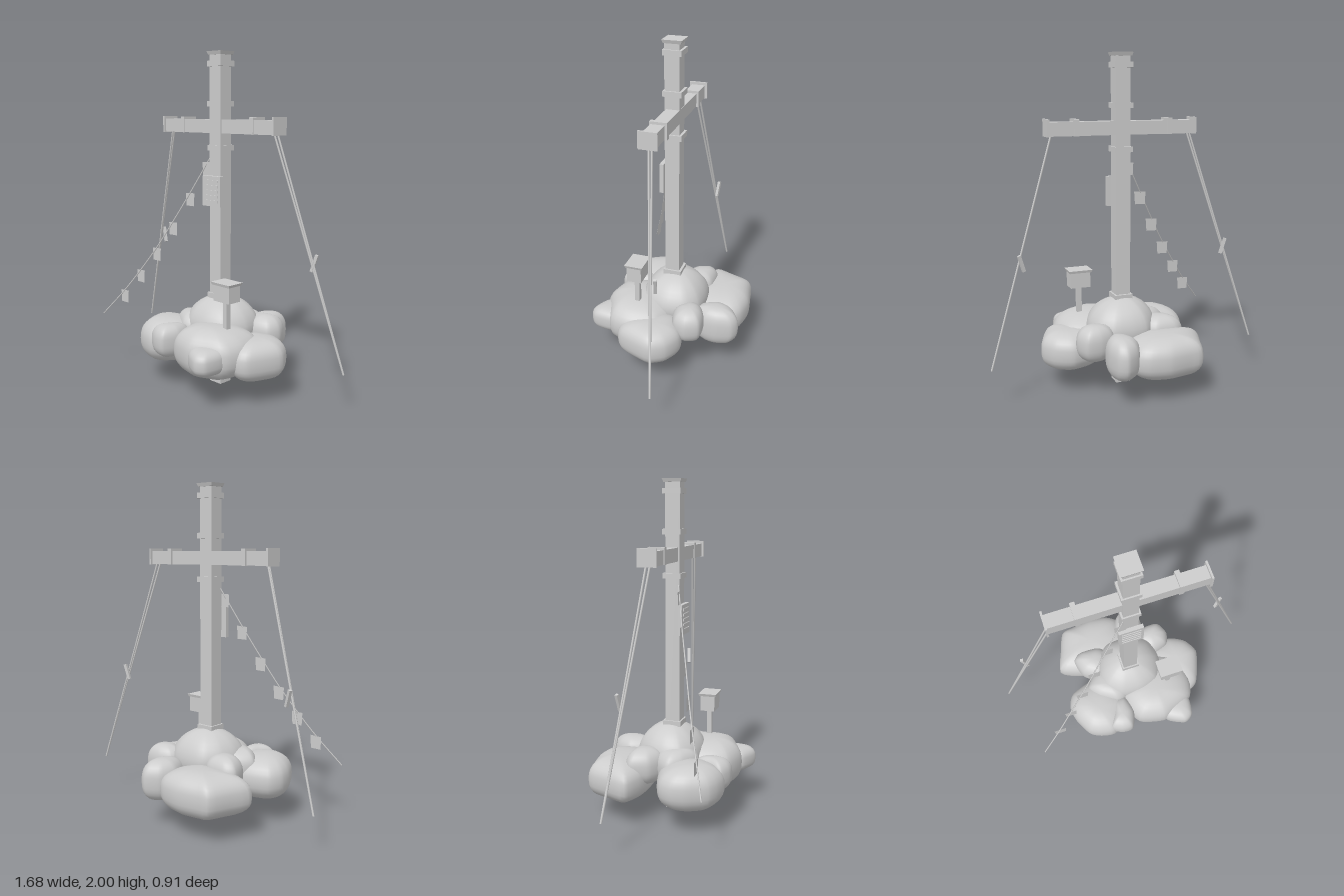
import * as THREE from 'three';
import { mergeVertices } from 'three/addons/utils/BufferGeometryUtils.js';

const stone = new THREE.MeshStandardMaterial({ color: 0xcccccc });
stone.name = 'light grey';
const cloth = new THREE.MeshStandardMaterial({ color: 0xcccccc, side: THREE.DoubleSide });
cloth.name = 'light grey cloth';

const V = (x, y, z) => new THREE.Vector3(x, y, z);

function add(parent, name, geometry, x = 0, y = 0, z = 0, material = stone) {
  const mesh = new THREE.Mesh(geometry, material);
  mesh.name = name;
  mesh.position.set(x, y, z);
  parent.add(mesh);
  return mesh;
}

const box = (parent, name, w, h, d, x, y, z) =>
  add(parent, name, new THREE.BoxGeometry(w, h, d), x, y, z);

// Box whose bottom is scaled, for flared caps and lids
function taperedBox(w, h, d, bottom) {
  const g = new THREE.BoxGeometry(w, h, d);
  const p = g.attributes.position;
  for (let i = 0; i < p.count; i++) {
    if (p.getY(i) < 0) p.setXYZ(i, p.getX(i) * bottom, p.getY(i), p.getZ(i) * bottom);
  }
  g.computeVertexNormals();
  return g;
}

// Straight rod between two points
function rod(parent, name, a, b, radius) {
  const mesh = add(parent, name, new THREE.CylinderGeometry(radius, radius, a.distanceTo(b), 6));
  mesh.position.copy(a).lerp(b, 0.5);
  mesh.quaternion.setFromUnitVectors(V(0, 1, 0), b.clone().sub(a).normalize());
}

// Boulder: a plan outline of [x, z] points (left, front, right, back) rounded
// off towards its bottom and top; a higher power gives a blockier side
function boulder(parent, bottom, top, power, outline) {
  const points = outline.map(([x, z]) => V(x, 0, z));
  const curve = new THREE.CatmullRomCurve3(points, true, 'catmullrom', 0.35);
  const middle = points.reduce((sum, q) => sum.add(q), V(0, 0, 0)).divideScalar(points.length);
  let g = new THREE.SphereGeometry(1, 40, 18);
  const p = g.attributes.position;
  const uv = g.attributes.uv;
  for (let i = 0; i < p.count; i++) {
    const t = p.getY(i);
    const spread = Math.sqrt(Math.max(0, 1 - t * t)) ** (2 / power);
    const height = Math.sign(t) * Math.abs(t) ** (2 / power);
    const q = curve.getPoint(THREE.MathUtils.euclideanModulo(uv.getX(i), 1)).sub(middle);
    q.multiplyScalar(spread < 1e-4 ? 0 : spread).add(middle);
    p.setXYZ(i, q.x, (bottom + top) / 2 + height * (top - bottom) / 2, q.z);
  }
  g.deleteAttribute('uv');
  g.deleteAttribute('normal');
  g = mergeVertices(g);
  g.computeVertexNormals();
  add(parent, 'boulder', g);
}

function addRocks(model) {
  const rocks = new THREE.Group();
  rocks.name = 'rocks';
  model.add(rocks);
  // Large lower boulders: left front, right front, right, back, back right
  boulder(rocks, 0.13, 0.4, 2.4, [[-0.455, 0.115], [-0.44, 0.21], [-0.38, 0.32], [-0.31, 0.36],
    [-0.22, 0.375], [-0.14, 0.33], [-0.06, 0.2], [-0.1, 0.03], [-0.25, -0.02], [-0.41, 0.03]]);
  boulder(rocks, 0.13, 0.43, 2.4, [[-0.1, 0.15], [-0.08, 0.27], [-0.03, 0.35], [0.05, 0.38],
    [0.14, 0.395], [0.23, 0.36], [0.35, 0.3], [0.385, 0.17], [0.34, 0], [0.15, -0.06], [0, 0]]);
  boulder(rocks, 0.13, 0.37, 2.6, [[0.14, 0.05], [0.2, 0.17], [0.36, 0.24], [0.43, 0.21],
    [0.475, 0.11], [0.507, 0], [0.46, -0.09], [0.4, -0.13], [0.33, -0.15], [0.18, -0.1]]);
  boulder(rocks, 0.12, 0.38, 2.6, [[-0.445, -0.16], [-0.33, -0.1], [-0.2, -0.08], [0, -0.1],
    [0.08, -0.25], [0.05, -0.39], [-0.02, -0.44], [-0.14, -0.46], [-0.27, -0.44], [-0.355, -0.42], [-0.405, -0.29]]);
  boulder(rocks, 0.15, 0.4, 2.6, [[0.0, -0.3], [0.05, -0.18], [0.13, -0.15], [0.19, -0.24],
    [0.2, -0.33], [0.175, -0.42], [0.12, -0.45], [0.04, -0.4]]);
  // Central mound
  boulder(rocks, 0.18, 0.55, 1.9, [[-0.21, 0.0], [-0.19, 0.1], [-0.1, 0.17], [0.05, 0.185],
    [0.17, 0.14], [0.225, 0], [0.2, -0.13], [0.12, -0.2], [0, -0.215], [-0.1, -0.2], [-0.18, -0.11]]);
  // Upper shoulders: back left, back right, left
  boulder(rocks, 0.22, 0.44, 2.4, [[-0.3, -0.06], [-0.2, 0], [-0.1, -0.03], [-0.09, -0.15],
    [-0.15, -0.21], [-0.28, -0.215], [-0.335, -0.17]]);
  boulder(rocks, 0.22, 0.44, 2.4, [[0.1, -0.14], [0.2, -0.06], [0.31, -0.09], [0.34, -0.17],
    [0.3, -0.25], [0.21, -0.255], [0.13, -0.22]]);
  boulder(rocks, 0.22, 0.44, 2.4, [[-0.3, 0.04], [-0.25, 0.13], [-0.13, 0.195], [-0.05, 0.16],
    [-0.05, 0.0], [-0.2, -0.06]]);
  // Small front boulders: left, right
  boulder(rocks, 0.2, 0.4, 2.6, [[-0.19, 0.26], [-0.23, 0.35], [-0.16, 0.39], [-0.09, 0.385],
    [-0.05, 0.28], [-0.08, 0.17], [-0.15, 0.17]]);
  boulder(rocks, 0.2, 0.355, 2.8, [[0.13, 0.3], [0.15, 0.4], [0.26, 0.455], [0.32, 0.42],
    [0.335, 0.3], [0.28, 0.2], [0.17, 0.2]]);
}

export function createModel() {
  const model = new THREE.Group();
  model.name = 'summitCross';
  addRocks(model);

  // Upright post, its bands and flared cap
  box(model, 'post', 0.09, 1.985, 0.088, 0.003, 0.9925, 0);
  for (const y of [0.55, 1.445, 1.7, 1.93]) box(model, 'postBand', 0.112, 0.032, 0.112, 0.003, y, -0.003);
  add(model, 'postCap', taperedBox(0.116, 0.02, 0.116, 0.88), 0.003, 1.99, -0.002);

  // Crossbeam with bands and end plates
  box(model, 'crossbeam', 0.915, 0.08, 0.08, 0.001, 1.57, -0.005);
  for (const side of [-1, 1]) {
    box(model, 'beamBand', 0.028, 0.096, 0.1, side * 0.288, 1.577, -0.009);
    box(model, 'beamEndPlate', 0.012, 0.1, 0.11, side * 0.455, 1.577, -0.006);
  }

  // Notice board with raised slats
  box(model, 'noticeBoard', 0.15, 0.18, 0.025, -0.002, 1.19, 0.057);
  for (let i = 0; i < 5; i++) box(model, 'boardSlat', 0.115, 0.014, 0.006, -0.002, 1.13 + i * 0.03, 0.072);

  // Paired guy wires with tensioners
  for (const side of [-1, 1]) {
    const foot = V(side * 0.832, 0.23, -0.133);
    rod(model, 'guyWire', V(side * 0.425, 1.535, 0.0), foot, 0.006);
    rod(model, 'guyWire', V(side * 0.432, 1.535, -0.02), foot, 0.006);
    const tensioner = box(model, 'tensioner', 0.018, 0.1, 0.018, side * 0.638, 0.83, -0.103);
    tensioner.rotation.set(0, side * 0.3, side * -0.3);
  }

  // Slack flag line with hanging flags
  const line = new THREE.CatmullRomCurve3([
    V(-0.035, 1.4, 0.035), V(-0.16, 1.17, 0.095), V(-0.26, 0.99, 0.147),
    V(-0.36, 0.82, 0.197), V(-0.46, 0.67, 0.247), V(-0.56, 0.53, 0.3), V(-0.7, 0.36, 0.37),
  ]);
  add(model, 'flagLine', new THREE.TubeGeometry(line, 24, 0.004, 5));
  const flag = new THREE.ShapeGeometry(new THREE.Shape([
    new THREE.Vector2(-0.034, -0.04), new THREE.Vector2(0.032, -0.039),
    new THREE.Vector2(0.038, 0.04), new THREE.Vector2(-0.038, 0.037),
  ]));
  for (const [x, y, z] of [[-0.06, 1.32, 0.05], [-0.16, 1.13, 0.095], [-0.26, 0.945, 0.147],
    [-0.36, 0.777, 0.197], [-0.46, 0.63, 0.247], [-0.56, 0.49, 0.3]]) {
    add(model, 'flag', flag, x, y, z, cloth);
  }

  // Log box on its stake
  const logBox = new THREE.Group();
  logBox.name = 'logBox';
  logBox.position.set(0.222, 0, 0.163);
  model.add(logBox);
  box(logBox, 'stake', 0.03, 0.25, 0.03, 0, 0.475, 0);
  box(logBox, 'boxBody', 0.125, 0.1, 0.09, 0, 0.635, 0);
  add(logBox, 'boxLid', taperedBox(0.148, 0.016, 0.112, 0.92), 0, 0.688, 0);

  return model;
}
